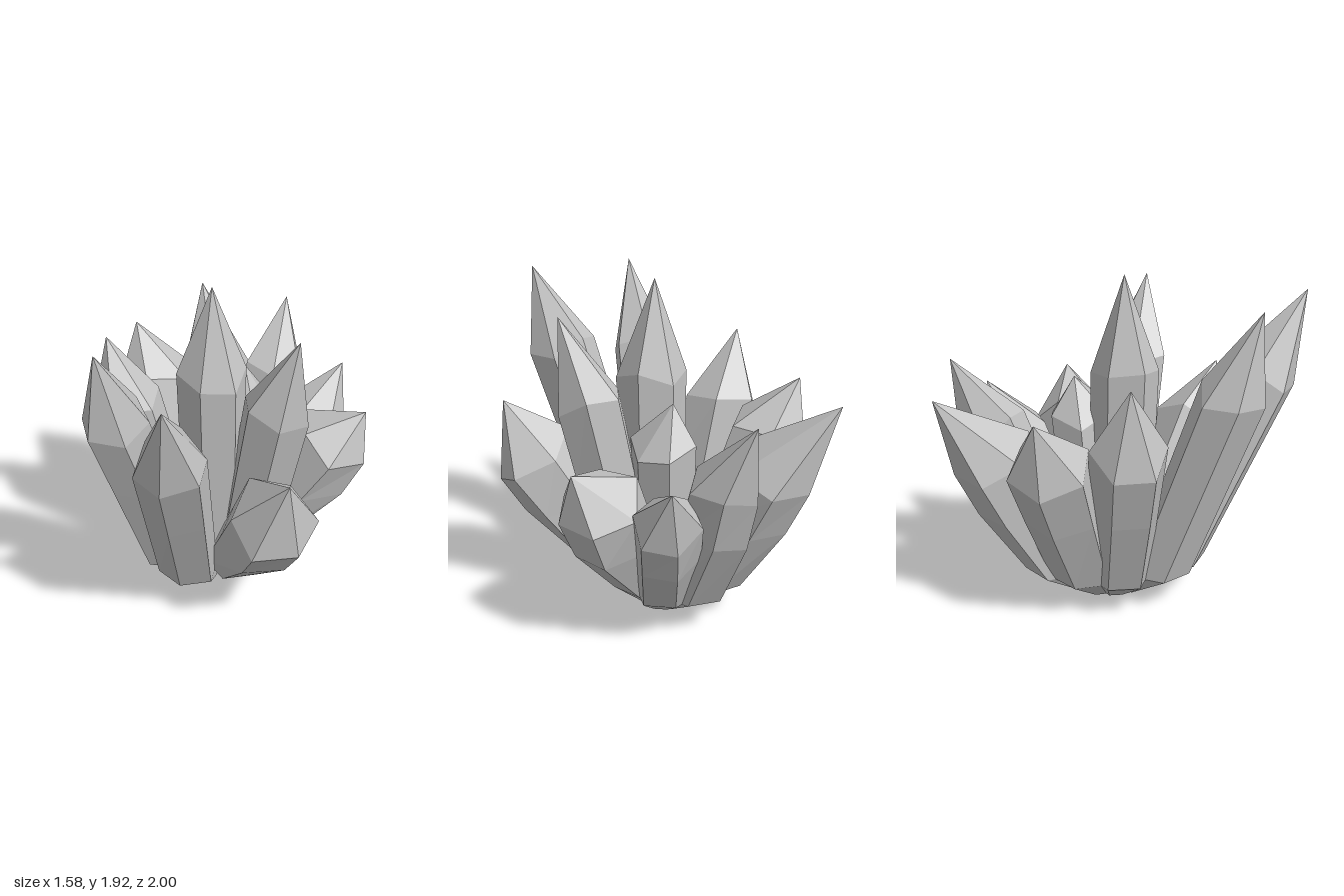
import * as THREE from 'three';

const SIDES = 6;
const FOOT_Y = 0.2;
const ROOT = new THREE.Vector3(0, 0, -0.1); // point the whole cluster grows from
const ROOT_SCALE = 0.42;

// Each crystal: foot centre [x, z] and radius, shoulder centre and radius, tip,
// twist of the hexagon, outward bow of the shaft
const CRYSTALS = [
  { name: 'frontCrystal', foot: [-0.02, 0.29, 0.18], shoulder: [0.13, 1.32, 0.77], r: 0.2, tip: [0.21, 1.79, 1.0], twist: 0.0, bow: 0 },
  { name: 'frontRightCrystal', foot: [-0.18, 0.2, 0.18], shoulder: [-0.3, 1.33, 0.57], r: 0.185, tip: [-0.31, 1.82, 0.73], twist: 0.1, bow: 0 },
  { name: 'centreCrystal', foot: [0, -0.03, 0.18], shoulder: [0, 1.38, 0], r: 0.195, tip: [-0.01, 1.92, -0.01], twist: 0.05, bow: 0 },
  { name: 'leftTallCrystal', foot: [0.19, -0.06, 0.17], shoulder: [0.4, 1.3, 0.03], r: 0.19, tip: [0.54, 1.77, 0.09], twist: 0.3, bow: 0 },
  { name: 'frontLeftCrystal', foot: [0.2, 0.1, 0.2], shoulder: [0.55, 0.83, 0.4], r: 0.25, tip: [0.68, 1.18, 0.52], twist: 0.25, bow: 0.05 },
  { name: 'leftCrystal', foot: [0.21, -0.22, 0.18], shoulder: [0.59, 0.87, -0.38], r: 0.24, tip: [0.77, 1.1, -0.42], twist: 0.45, bow: 0.08 },
  { name: 'rightBackCrystal', foot: [-0.26, -0.23, 0.19], shoulder: [-0.57, 1.03, -0.37], r: 0.235, tip: [-0.72, 1.33, -0.43], twist: 0.25, bow: 0.01 },
  { name: 'rightCrystal', foot: [-0.28, -0.02, 0.18], shoulder: [-0.54, 1.1, 0.05], r: 0.215, tip: [-0.64, 1.5, 0.06], twist: 0.45, bow: 0.01 },
  { name: 'backRightCrystal', foot: [-0.16, -0.4, 0.2], shoulder: [-0.32, 0.95, -0.72], r: 0.24, tip: [-0.54, 1.38, -0.98], twist: -0.1, bow: 0.03 },
  { name: 'backCrystal', foot: [0.03, -0.46, 0.19], shoulder: [0.05, 1.0, -0.78], r: 0.195, tip: [0.03, 1.4, -1.0], twist: 0.4, bow: 0.05 },
  { name: 'backLeftCrystal', foot: [0.17, -0.4, 0.18], shoulder: [0.37, 0.83, -0.7], r: 0.19, tip: [0.46, 1.1, -0.88], twist: 0.3, bow: 0.04 },
  { name: 'innerBackCrystal', foot: [0.04, -0.2, 0.17], shoulder: [0.1, 1.05, -0.27], r: 0.19, tip: [0.06, 1.3, -0.3], twist: 0.1, bow: 0 },
];

// Slightly uneven hexagon around a centre, counter-clockwise about the axis
function ring(centre, out, side, radius, twist, shift) {
  const uneven = [1.0, 1.05, 0.94, 1.04, 0.96, 1.02];
  return Array.from({ length: SIDES }, (_, i) => {
    const a = twist + (i / SIDES) * Math.PI * 2;
    const r = radius * uneven[(i + shift) % SIDES];
    return centre.clone()
      .addScaledVector(out, Math.cos(a) * r)
      .addScaledVector(side, Math.sin(a) * r);
  });
}

function crystalGeometry({ foot, shoulder, r, tip, twist, bow }, index) {
  const up = new THREE.Vector3(0, 1, 0);
  const footCentre = new THREE.Vector3(foot[0], FOOT_Y, foot[1]);
  const shoulderCentre = new THREE.Vector3(...shoulder);
  const tipPoint = new THREE.Vector3(...tip);

  // Outward lean decides where the hexagon's first corner points
  const axis = shoulderCentre.clone().sub(footCentre).normalize();
  const out = shoulderCentre.clone().sub(ROOT).setY(0).normalize();
  const side = up.clone().cross(out).normalize();
  const tiltedOut = side.clone().cross(axis).normalize();
  const tiltedSide = axis.clone().cross(tiltedOut);

  const footRing = ring(footCentre, out, side, foot[2], twist, index);
  const rootRing = footRing.map((p) => p.clone().sub(ROOT).multiplyScalar(ROOT_SCALE).add(ROOT).setY(0));
  const shoulderRing = ring(shoulderCentre, tiltedOut, tiltedSide, r, twist, index);
  // Uneven shoulder heights give a natural cut
  shoulderRing.forEach((p, i) => p.addScaledVector(axis, 0.04 * Math.sin(i * 2.3 + index * 1.7)));
  // The outer side of the shaft bellies out below the shoulder
  const bellyRing = footRing.map((p, i) => {
    const facing = Math.max(0, Math.cos(twist + (i / SIDES) * Math.PI * 2));
    return p.clone().lerp(shoulderRing[i], 0.6).addScaledVector(out, bow * facing);
  });

  const points = [];
  const tri = (a, b, c) => points.push(a, b, c);
  for (let i = 0; i < SIDES; i++) {
    const j = (i + 1) % SIDES;
    for (const [low, high] of [[rootRing, footRing], [footRing, bellyRing], [bellyRing, shoulderRing]]) {
      tri(low[i], low[j], high[j]);
      tri(low[i], high[j], high[i]);
    }
    tri(shoulderRing[i], shoulderRing[j], tipPoint);
    if (i > 0 && j > 0) tri(rootRing[0], rootRing[j], rootRing[i]);
  }
  const geometry = new THREE.BufferGeometry().setFromPoints(points);
  geometry.computeVertexNormals();
  return geometry;
}

export function createModel() {
  const group = new THREE.Group();
  group.name = 'crystalCluster';
  const grey = new THREE.MeshStandardMaterial({ color: 0xc4c4c4 });
  grey.name = 'crystalGrey';
  grey.flatShading = true;

  CRYSTALS.forEach((spec, index) => {
    const mesh = new THREE.Mesh(crystalGeometry(spec, index), grey);
    mesh.name = spec.name;
    group.add(mesh);
  });
  return group;
}
